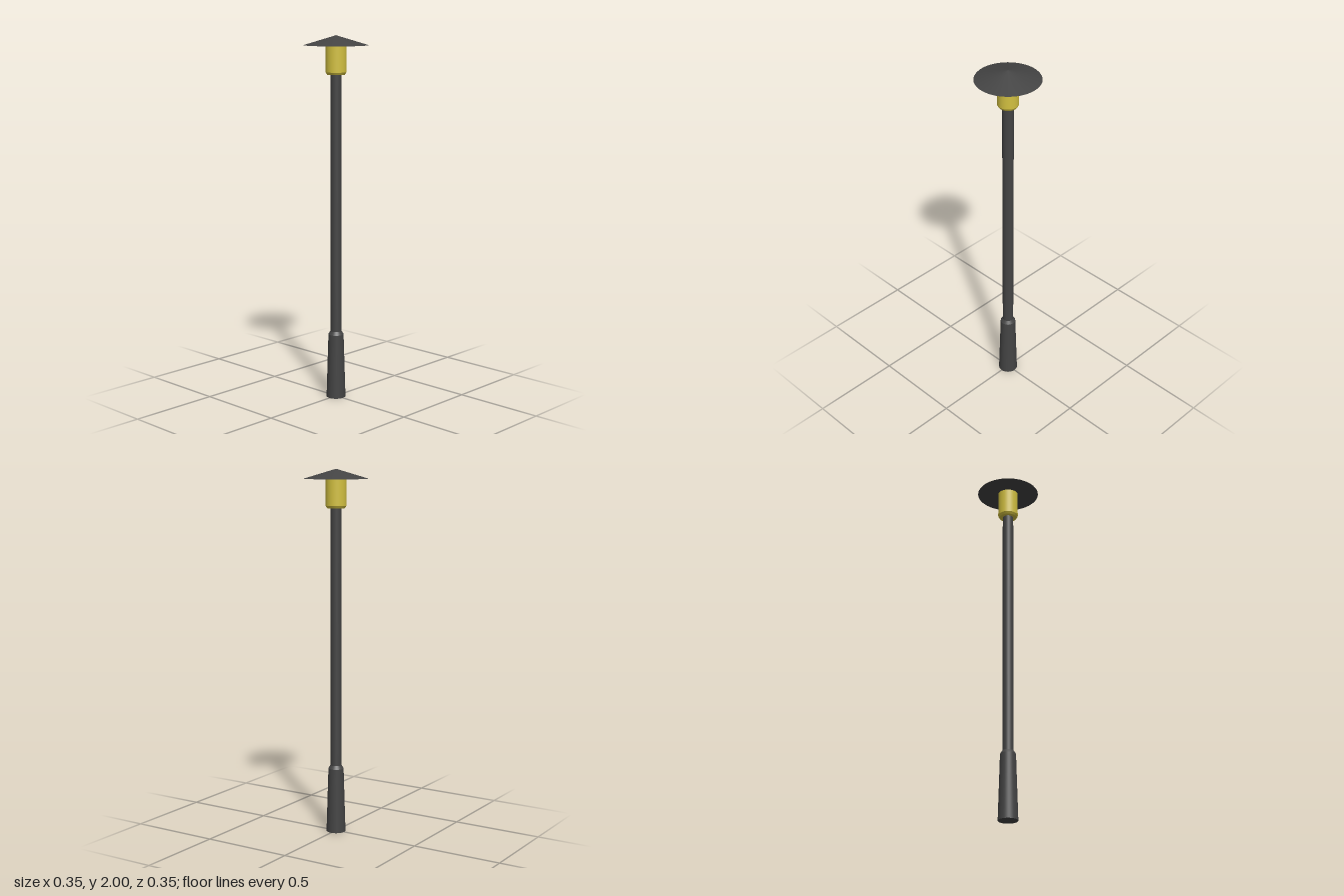
import * as THREE from 'three';

const SIDES = 32;
const dark = new THREE.MeshStandardMaterial({ color: 0x444444 });
const yellow = new THREE.MeshStandardMaterial({ color: 0xd2c040 });

// Round section between two heights, with its own bottom and top radius
function section(name, material, y0, y1, r0, r1, open = false) {
  const geometry = new THREE.CylinderGeometry(r1, r0, y1 - y0, SIDES, 1, open);
  const mesh = new THREE.Mesh(geometry, material);
  mesh.name = name;
  mesh.position.y = (y0 + y1) / 2;
  return mesh;
}

export function createModel() {
  const model = new THREE.Group();
  model.name = 'streetLamp';

  // Tapered foot with a bevelled shoulder
  const base = new THREE.Group();
  base.name = 'base';
  base.add(
    section('baseBody', dark, 0, 0.36, 0.053, 0.042),
    section('baseShoulder', dark, 0.36, 0.378, 0.042, 0.03, true)
  );

  // Slim pole
  const pole = section('pole', dark, 0.37, 1.8, 0.03, 0.03);

  // Light housing with a bevelled lower rim
  const lantern = new THREE.Group();
  lantern.name = 'lantern';
  lantern.add(
    section('lanternRim', yellow, 1.792, 1.805, 0.048, 0.056),
    section('lanternBody', yellow, 1.805, 1.95, 0.056, 0.056, true)
  );

  // Shallow conical shade
  const shade = new THREE.Mesh(new THREE.ConeGeometry(0.173, 0.052, SIDES), dark);
  shade.name = 'shade';
  shade.position.y = 1.974;

  model.add(base, pole, lantern, shade);
  return model;
}
